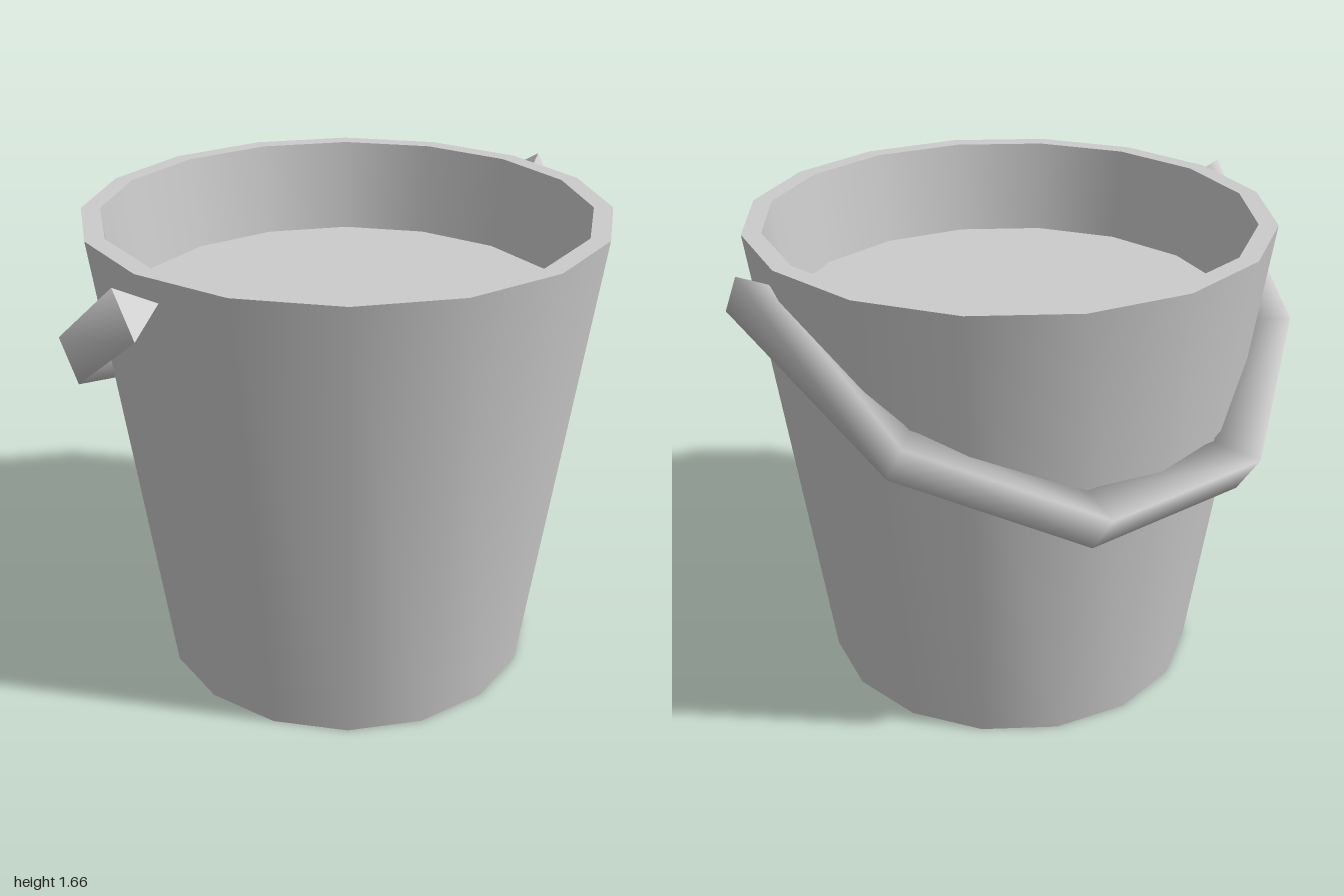
import * as THREE from 'three';

const SIDES = 16;
const material = new THREE.MeshStandardMaterial({ color: 0xcccccc });

function addMesh(parent, name, geometry) {
  const mesh = new THREE.Mesh(geometry, material);
  mesh.name = name;
  parent.add(mesh);
}

// One straight band turned around the y axis; separate bands keep the edges sharp
function band(r0, y0, r1, y1) {
  return new THREE.LatheGeometry([new THREE.Vector2(r0, y0), new THREE.Vector2(r1, y1)], SIDES);
}

function createBucket() {
  const bucket = new THREE.Group();
  bucket.name = 'bucket';
  bucket.position.z = 0.02;
  const top = 1.66, floorY = 1.33;
  addMesh(bucket, 'base', band(0, 0, 0.675, 0));
  addMesh(bucket, 'outerWall', band(0.675, 0, 0.893, top));
  addMesh(bucket, 'rim', band(0.893, top, 0.828, top));
  addMesh(bucket, 'innerWall', band(0.828, top, 0.785, floorY));
  addMesh(bucket, 'contents', band(0.785, floorY, 0, floorY));
  return bucket;
}

// Half-ellipse handle with a triangular section, leaning down behind the bucket
function createHandle() {
  const handle = new THREE.Group();
  handle.name = 'handle';
  const segments = 5, reach = 1.219, inner = 0.87;
  const pivot = new THREE.Vector3(0, 1.583, 0.1);
  const along = new THREE.Vector3(0, -0.548, -0.837);
  const up = new THREE.Vector3(0, 0.837, -0.548);
  // Section corners: upper outer, lower outer, inner ridge
  const section = [[1, 0.086], [1, -0.086], [inner, 0]];

  const rings = [];
  for (let i = 0; i <= segments; i++) {
    const a = (i / segments) * Math.PI;
    rings.push(section.map(([scale, height]) => {
      const p = pivot.clone()
        .addScaledVector(along, Math.sin(a) * reach * scale)
        .addScaledVector(up, height);
      p.x = Math.cos(a) * scale;
      return p;
    }));
  }

  const index = [];
  for (let i = 0; i < segments; i++) {
    for (let k = 0; k < 3; k++) {
      const n = (k + 1) % 3;
      const a = i * 3 + k, b = i * 3 + n, c = b + 3, d = a + 3;
      index.push(a, b, c, a, c, d);
    }
  }
  const bar = new THREE.BufferGeometry().setFromPoints(rings.flat());
  bar.setIndex(index);
  bar.computeVertexNormals();
  addMesh(handle, 'handleBar', bar);

  // Flat triangular ends
  const [u, l, r] = rings[0];
  [['leftHandleEnd', [u, r, l]], ['rightHandleEnd', rings[segments]]].forEach(([name, points]) => {
    const cap = new THREE.BufferGeometry().setFromPoints(points);
    cap.computeVertexNormals();
    addMesh(handle, name, cap);
  });
  return handle;
}

export function createModel() {
  const model = new THREE.Group();
  model.name = 'bucketWithHandle';
  model.add(createBucket(), createHandle());
  return model;
}
